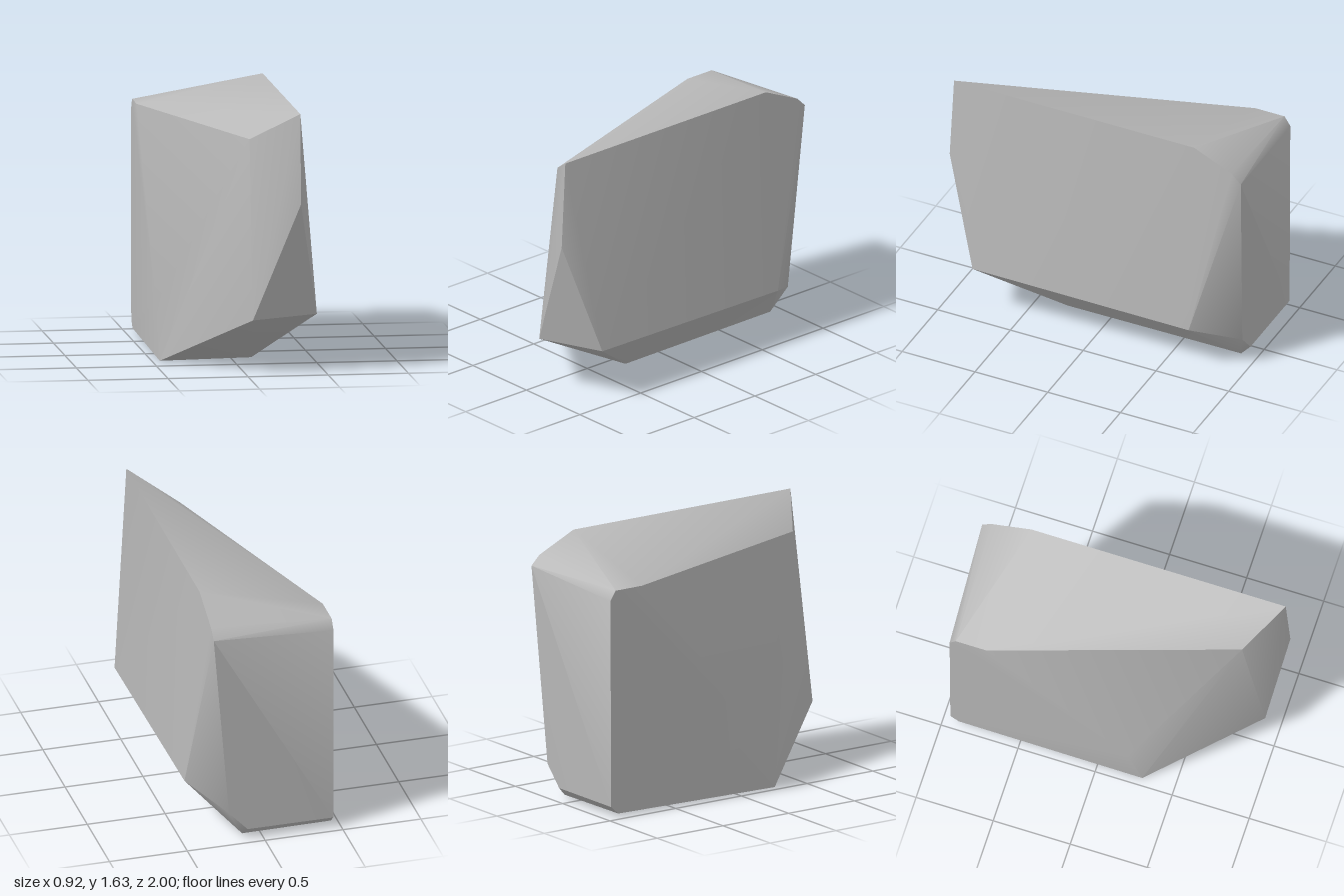
import * as THREE from 'three';
import { ConvexGeometry } from 'three/addons/geometries/ConvexGeometry.js';
import { toCreasedNormals } from 'three/addons/utils/BufferGeometryUtils.js';

export function createModel() {
  const group = new THREE.Group();
  group.name = 'rock';
  const stone = new THREE.MeshStandardMaterial({ color: 0xb8b8b8 });
  stone.name = 'stone grey';

  // Corners of the chiselled block, grouped by region
  const corners = [
    // top ridge and its worn back end
    [0.33, 1.63, 0.97], [0.33, 1.63, -0.68], [0.33, 1.51, -0.94], [0.33, 1.45, -1.0],
    // lower top edge on the -x side
    [0.04, 1.45, 0.78], [-0.45, 1.45, -0.72], [-0.45, 1.45, -0.92], [-0.45, 1.39, -0.96],
    // front facets
    [0.33, 1.07, 1.0], [0.04, 0.34, 0.93], [-0.462, 0.35, 0.2],
    // widest line on the +x side
    [0.46, 0.35, 0.78], [0.43, 0.32, -0.69],
    // base
    [-0.45, 0, 0.29], [0.12, 0.01, 0.29], [-0.45, 0.02, -0.9], [0.12, 0.015, -0.9],
    // chamfer along the back of the base
    [-0.45, 0.07, -0.955], [0.1, 0.07, -0.955], [0.22, 0.2, -0.957],
  ].map((p) => new THREE.Vector3(...p));

  const body = new THREE.Mesh(toCreasedNormals(new ConvexGeometry(corners), 0.6), stone);
  body.name = 'rockBody';
  group.add(body);
  return group;
}
